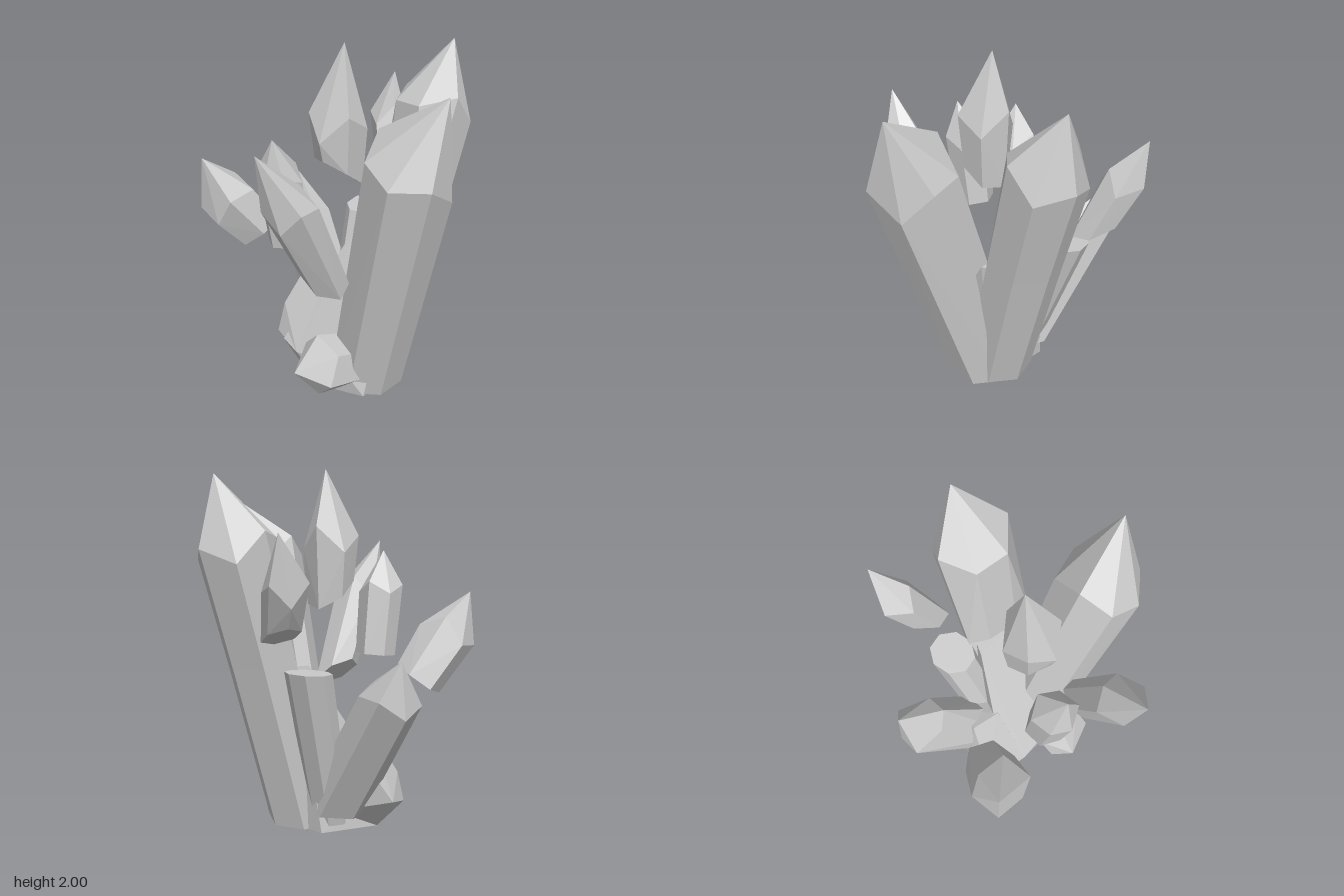
import * as THREE from 'three';
import { ConvexGeometry } from 'three/addons/geometries/ConvexGeometry.js';

const V = (p) => new THREE.Vector3(...p);

// Depth of the sloping fracture plane at a given x and y
const fracture = (x, y) => 0.38 - 0.6 * y - 0.15 * x;
const onFracture = (x, y) => [x, y, Math.min(fracture(x, y), 0.31)];

// Faceted solid around a handful of corner points
function solid(name, points) {
  const mesh = new THREE.Mesh(
    new ConvexGeometry(points),
    new THREE.MeshStandardMaterial({ color: 0xcccccc, flatShading: true })
  );
  mesh.name = name;
  return mesh;
}

// Ring of corners around an axis, slid along it onto a sloping plane
function ring(center, axis, radius, sides, turn, normal, stagger = 0) {
  const u = new THREE.Vector3(0, 0, 1).addScaledVector(axis, -axis.z).normalize();
  const v = new THREE.Vector3().crossVectors(axis, u);
  const n = normal ? V(normal).normalize() : axis;
  return Array.from({ length: sides }, (_, i) => {
    const t = turn + (i / sides) * Math.PI * 2;
    const p = u.clone().multiplyScalar(Math.cos(t) * radius).addScaledVector(v, Math.sin(t) * radius);
    const slide = -p.dot(n) / axis.dot(n) + (i % 2 ? stagger : -stagger);
    return p.addScaledVector(axis, slide).add(center);
  });
}

// Prism from a to b, with an optional off-centre tip, sloping ends and depth limit
function crystal(name, { a, b, tip, ra, rb, sides = 6, turn = 0, low, high, stagger = 0, maxZ }) {
  const A = V(a), B = V(b);
  const axis = B.clone().sub(A).normalize();
  const pts = [
    ...ring(A, axis, ra, sides, turn, low),
    ...ring(B, axis, rb, sides, turn, high, stagger),
  ];
  if (tip) pts.push(V(tip));
  if (maxZ) pts.forEach((p) => { p.z = Math.min(p.z, maxZ(p)); });
  return solid(name, pts);
}

export function createModel() {
  const group = new THREE.Group();
  group.name = 'crystalCluster';

  // Two tall crystals rising from the ground; the back one is cracked across
  group.add(crystal('leftTallCrystal', {
    a: [0.12, 0.01, -0.01], b: [0.525, 1.47, 0.025], tip: [0.69, 1.85, -0.06],
    ra: 0.215, rb: 0.235, sides: 7, turn: 0.44, low: [0, 1, 0], high: [0.5, 1, -0.25], stagger: 0.05,
  }));
  group.add(crystal('backTallCrystalFoot', {
    a: [0.06, 0.02, -0.06], b: [0.069, 0.95, -0.315],
    ra: 0.2, rb: 0.212, sides: 7, turn: 0.45, low: [0, 1, 0], high: [0, 1, 0],
    maxZ: (p) => fracture(p.x, p.y),
  }));
  group.add(crystal('backTallCrystal', {
    a: [0.069, 0.95, -0.315], b: [0.075, 1.61, -0.505], tip: [0.07, 1.95, -0.63],
    ra: 0.212, rb: 0.22, sides: 7, turn: 0.45, low: [0, 1, 0], high: [-0.05, 1, -0.4], stagger: 0.05,
    maxZ: () => -0.22,
  }));

  // Broken core, cut by one sloping fracture facing the front
  group.add(solid('brokenCore', [
    [-0.28, 0, 0.2], [-0.12, 0, 0.26], [0.12, 0.01, 0.24], [0.3, 0.02, 0.14],
    [-0.2, 0.02, -0.15], [0.2, 0.02, -0.2],
    onFracture(-0.3, 0.16), onFracture(-0.15, 0.14), onFracture(0.2, 0.2),
    onFracture(0.31, 0.55), onFracture(0.28, 0.95), onFracture(-0.12, 0.95),
    [0.25, 0.95, -0.27], [-0.1, 0.95, -0.25],
  ].map(V)));

  // Low shoulder of the core beside the leaning crystal
  group.add(solid('coreShoulder', [
    [-0.28, 0, 0.2], [-0.12, 0, 0.24], [-0.46, 0.2, 0.14], [-0.4, 0.16, 0.29],
    onFracture(-0.15, 0.14), onFracture(-0.4, 0.34), onFracture(-0.36, 0.6), onFracture(-0.18, 0.56),
    [-0.36, 0.55, -0.08], [-0.18, 0.5, -0.08], [-0.25, 0.15, -0.1],
  ].map(V)));

  // Leaning side crystal, trimmed by the same fracture
  group.add(crystal('rightLeaningCrystal', {
    a: [-0.15, 0.12, -0.01], b: [-0.61, 0.82, -0.045], tip: [-0.72, 1.04, -0.02],
    ra: 0.17, rb: 0.16, turn: 0.3, low: [0, 1, 0], high: [-0.35, 1, 0.1], stagger: 0.03,
    maxZ: (p) => fracture(p.x, p.y) + 0.05,
  }));

  // Snapped stump with a flat top
  group.add(crystal('snappedStump', {
    a: [-0.13, 0.05, -0.02], b: [-0.245, 0.94, -0.28],
    ra: 0.11, rb: 0.125, sides: 8, low: [0, 1, 0], high: [0, 1, 0.08],
  }));

  // Short crystal at the foot
  group.add(crystal('frontFootCrystal', {
    a: [0.13, 0.18, 0.14], b: [0.14, 0.23, 0.34], tip: [0.11, 0.21, 0.48],
    ra: 0.16, rb: 0.175, turn: 0.4, stagger: 0.02,
  }));

  // Detached pieces hovering above the fracture
  const shards = new THREE.Group();
  shards.name = 'detachedShards';
  group.add(shards);
  shards.add(crystal('centreShard', {
    a: [0.02, 1.32, 0.11], b: [0.02, 1.6, 0.11], tip: [0.01, 2, 0.06],
    ra: 0.13, rb: 0.155, turn: 0.3, low: [0, 1, -0.7], high: [0, 1, 0.2], stagger: 0.06,
  }));
  shards.add(crystal('backShard', {
    a: [-0.28, 1.15, -0.485], b: [-0.385, 1.4, -0.54], tip: [-0.45, 1.66, -0.63],
    ra: 0.1, rb: 0.115, turn: 0.2, low: [0.4, 1, 0.1], stagger: 0.05,
  }));
  shards.add(crystal('frontRightShard', {
    a: [-0.43, 0.86, 0.36], b: [-0.475, 1.09, 0.54], tip: [-0.55, 1.33, 0.64],
    ra: 0.14, rb: 0.16, turn: 0.3, low: [-0.5, 1, 0.5], stagger: 0.04,
  }));
  shards.add(crystal('frontCentreShard', {
    a: [-0.07, 0.95, 0.38], b: [-0.06, 1.33, 0.43], tip: [-0.03, 1.55, 0.48],
    ra: 0.115, rb: 0.125, turn: 0.2, low: [0, 1, 0.1], stagger: 0.03,
  }));
  shards.add(crystal('frontLeftShard', {
    a: [0.21, 0.81, 0.33], b: [0.265, 1.29, 0.56], tip: [0.25, 1.6, 0.73],
    ra: 0.11, rb: 0.135, turn: 0.5, low: [0.9, 1, 0.1], stagger: 0.04,
  }));

  return group;
}
